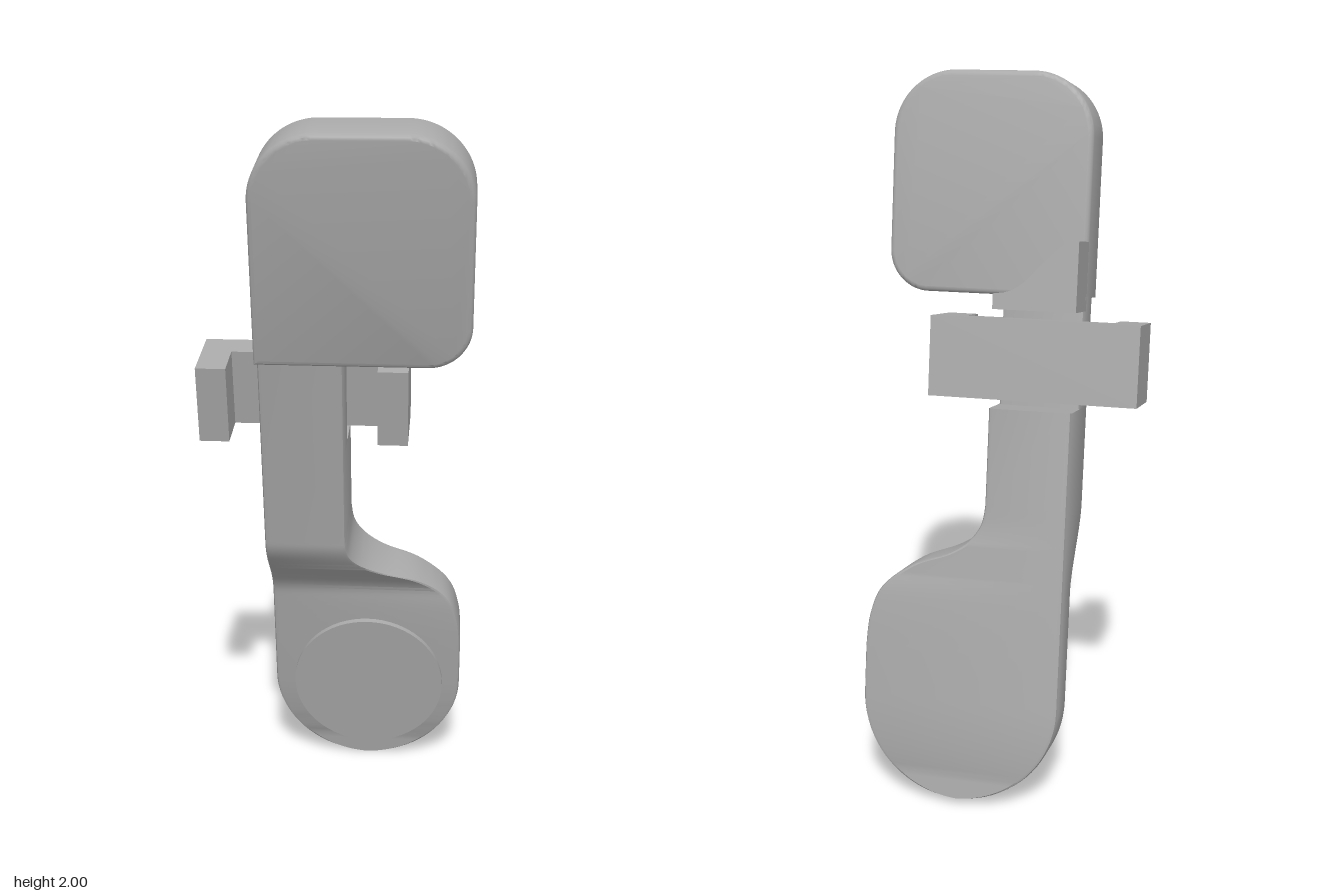
import * as THREE from 'three';
import { toCreasedNormals } from 'three/addons/utils/BufferGeometryUtils.js';

const BACK = -0.322, MID = -0.2, LEFT = -0.215, ARM_RIGHT = 0.015;

// Chamfered rectangle cross-section at height v, counter-clockwise from above
function ring(v, u0, u1, w0, w1) {
  const r = Math.min(0.012, (u1 - u0) / 4);
  return [
    [u0, w1 - r], [u0 + r * 0.3, w1 - r * 0.3], [u0 + r, w1],
    [u1 - r, w1], [u1 - r * 0.3, w1 - r * 0.3], [u1, w1 - r],
    [u1, w0 + r], [u1 - r * 0.3, w0 + r * 0.3], [u1 - r, w0],
    [u0 + r, w0], [u0 + r * 0.3, w0 + r * 0.3], [u0, w0 + r],
  ].map(([u, w]) => [u, v, w]);
}

// Skin a stack of rings
function loft(rings) {
  const n = rings[0].length, index = [];
  for (let i = 0; i < rings.length - 1; i++) {
    for (let j = 0; j < n; j++) {
      const k = (j + 1) % n;
      const a = i * n + j, b = i * n + k, c = b + n, d = a + n;
      index.push(a, b, c, a, c, d);
    }
  }
  const geo = new THREE.BufferGeometry();
  geo.setAttribute('position', new THREE.Float32BufferAttribute(rings.flat(2), 3));
  geo.setIndex(index);
  return toCreasedNormals(geo, 0.6);
}

// Front surface steps forward from the paddle to the arm
const frontAt = (v) => MID + 0.12 * THREE.MathUtils.smoothstep(v, 0.56, 0.8);

function paddleAndArm() {
  const cu = 0.066, cv = 0.246, R = 0.281, rings = [];
  // round lower end
  for (let i = 0; i <= 20; i++) {
    const t = (i / 20) * Math.PI / 2;
    const v = cv - R * Math.cos(t), h = R * Math.sin(t);
    rings.push(ring(v, cu - h, cu + h, BACK, MID));
  }
  // shoulder sweeping into the narrow arm
  const shoulder = new THREE.SplineCurve([
    [0.347, 0.38], [0.338, 0.47], [0.305, 0.555], [0.22, 0.625],
    [0.12, 0.665], [0.06, 0.705], [0.025, 0.755], [ARM_RIGHT, 0.81],
  ].map((p) => new THREE.Vector2(...p)));
  for (const p of shoulder.getPoints(42)) {
    rings.push(ring(p.y, LEFT, p.x, BACK, frontAt(p.y)));
  }
  // arm, thinned at the back where the bracket sits
  for (const [v, back] of [[1.08, BACK], [1.08, MID], [1.39, MID]]) {
    rings.push(ring(v, LEFT, ARM_RIGHT, back, frontAt(v)));
  }
  return loft(rings);
}

// Upper pad: three rounded corners, one square corner above the arm
function padGeometry() {
  const b = 0.014, l = LEFT + b, r = 0.354 - b, y0 = 1.385 + b, y1 = 1.998 - b;
  const R = 0.16, q = 0.1;
  const s = new THREE.Shape();
  s.moveTo(l, y0);
  s.lineTo(r - q, y0);
  s.absarc(r - q, y0 + q, q, -Math.PI / 2, 0);
  s.absarc(r - R, y1 - R, R, 0, Math.PI / 2);
  s.absarc(l + R, y1 - R, R, Math.PI / 2, Math.PI);
  s.closePath();
  const geo = new THREE.ExtrudeGeometry(s, {
    depth: 0.165 - 2 * b, bevelThickness: b, bevelSize: b, bevelSegments: 3, curveSegments: 14,
  });
  geo.translate(0, 0, -0.18 + b);
  return toCreasedNormals(geo, 0.65);
}

// Rib behind the pad, with a concave sloping top
function ribGeometry() {
  const s = new THREE.Shape();
  s.moveTo(LEFT, 1.35);
  s.lineTo(ARM_RIGHT, 1.35);
  s.lineTo(ARM_RIGHT, 1.392);
  s.bezierCurveTo(-0.08, 1.395, -0.09, 1.47, -0.185, 1.537);
  s.lineTo(LEFT, 1.54);
  s.closePath();
  const geo = new THREE.ExtrudeGeometry(s, { depth: 0.15, bevelEnabled: false, curveSegments: 16 });
  geo.translate(0, 0, BACK);
  return toCreasedNormals(geo, 0.5);
}

// U-shaped bracket opening to the front
function bracketGeometry() {
  const l = -0.39, r = 0.187, t = 0.083, back = 0.32, bar = 0.237, tip = 0.122;
  const s = new THREE.Shape([
    [l, tip], [l + t, tip], [l + t, bar], [r - t, bar],
    [r - t, tip], [r, tip], [r, back], [l, back],
  ].map((p) => new THREE.Vector2(...p)));
  const geo = new THREE.ExtrudeGeometry(s, { depth: 0.22, bevelEnabled: false });
  geo.rotateX(-Math.PI / 2);
  geo.translate(0, 1.105, 0);
  return geo;
}

export function createModel() {
  const grey = new THREE.MeshStandardMaterial({ color: 0xa8a8a8 });
  grey.name = 'grey';
  const model = new THREE.Group();
  model.name = 'paddleLever';

  // everything is built upright, then turned and leaned forward
  const lever = new THREE.Group();
  lever.name = 'lever';
  lever.rotation.set(THREE.MathUtils.degToRad(10), THREE.MathUtils.degToRad(10), 0, 'YXZ');
  model.add(lever);

  const add = (name, geo) => {
    const mesh = new THREE.Mesh(geo, grey);
    mesh.name = name;
    lever.add(mesh);
    return mesh;
  };

  add('paddleAndArm', paddleAndArm());
  add('upperPad', padGeometry());
  add('rib', ribGeometry());
  add('bracket', bracketGeometry());

  const disc = add('disc', new THREE.CylinderGeometry(0.225, 0.225, 0.03, 64));
  disc.rotation.x = Math.PI / 2;
  disc.position.set(0.07, 0.248, -0.198);

  return model;
}
